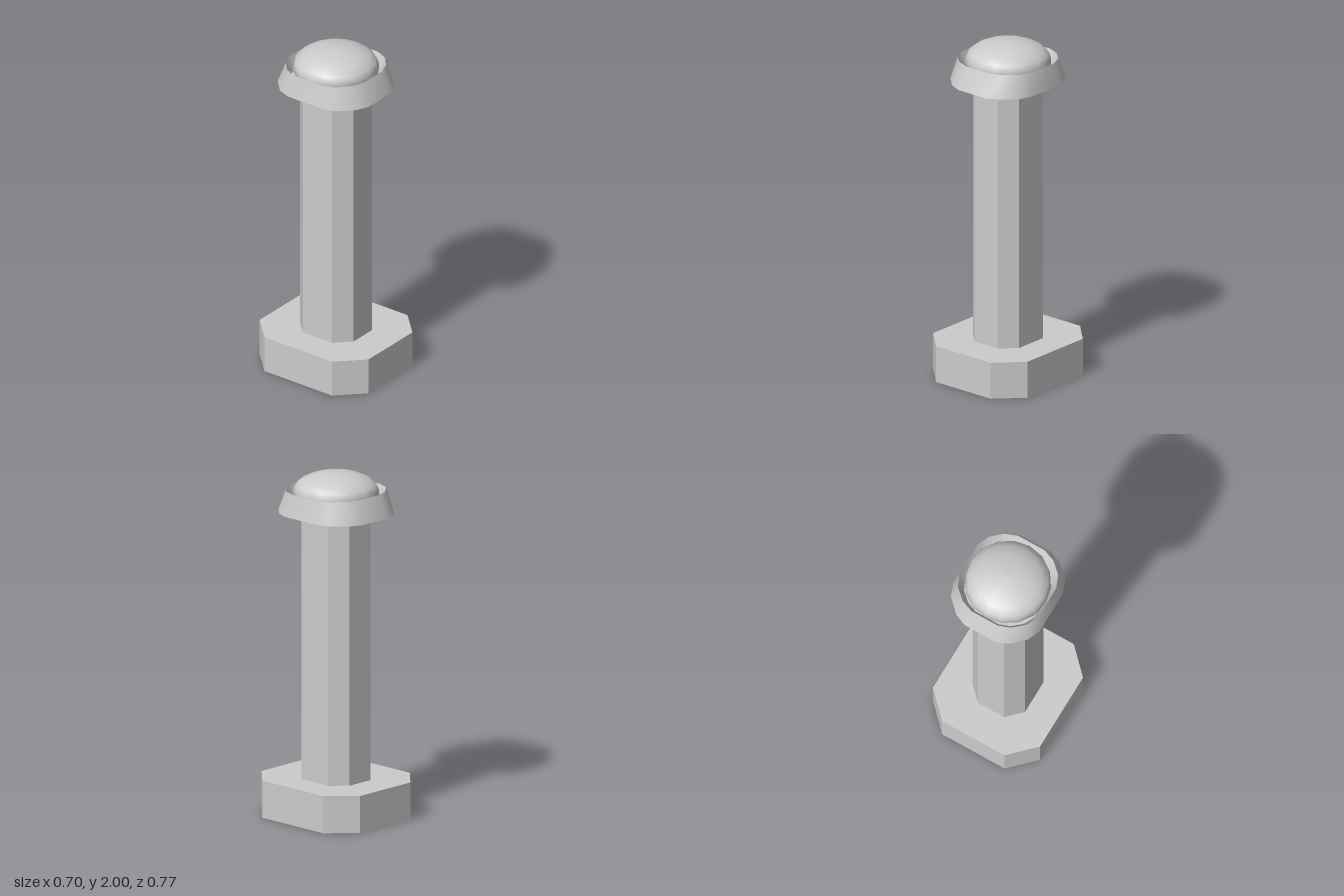
import * as THREE from 'three';
import { toCreasedNormals } from 'three/addons/utils/BufferGeometryUtils.js';

const material = new THREE.MeshStandardMaterial({ color: 0xcccccc, side: THREE.DoubleSide });

// Mirrors one quadrant of outline points (ordered from +x to +z) into a full loop
function mirrorLoop(quadrant) {
  const back = [...quadrant].reverse();
  return [
    ...quadrant,
    ...back.map(([x, z]) => [-x, z]),
    ...quadrant.map(([x, z]) => [-x, -z]),
    ...back.map(([x, z]) => [x, -z]),
  ];
}

// Skins a stack of [outline, y] sections, facing outwards when listed upwards
function loft(name, sections) {
  const positions = [];
  const corner = ([loop, y], i) => {
    const [x, z] = loop[i % loop.length];
    return [x, y, z];
  };
  for (let s = 0; s < sections.length - 1; s++) {
    const low = sections[s], high = sections[s + 1];
    for (let i = 0; i < low[0].length; i++) {
      const a = corner(low, i), b = corner(high, i);
      const c = corner(high, i + 1), d = corner(low, i + 1);
      positions.push(...a, ...b, ...d, ...b, ...c, ...d);
    }
  }
  const geometry = new THREE.BufferGeometry();
  geometry.setAttribute('position', new THREE.Float32BufferAttribute(positions, 3));
  geometry.computeVertexNormals();
  return part(name, toCreasedNormals(geometry, 0.6));
}

function part(name, geometry) {
  const mesh = new THREE.Mesh(geometry, material);
  mesh.name = name;
  return mesh;
}

const toPoints = (loop) => loop.map(([x, z]) => new THREE.Vector2(x, z));

export function createModel() {
  const group = new THREE.Group();
  group.name = 'post';

  const baseLoop = mirrorLoop([[0.35, 0.24], [0.204, 0.387]]);
  const shaftLoop = mirrorLoop([[0.172, 0.104], [0.085, 0.19]]);
  const skirtLoop = mirrorLoop([[0.283, 0.128], [0.254, 0.203], [0.174, 0.282], [0.1, 0.313]]);
  const rimLoop = mirrorLoop([[0.257, 0.1], [0.226, 0.174], [0.159, 0.234], [0.086, 0.262]]);
  const innerLoop = rimLoop.map(([x, z]) => [x * 0.88, z * 0.88]);
  const baseTop = 0.217, headBottom = 1.767;

  // Hollow base: open underneath, with a hole where the shaft meets the top
  group.add(loft('base', [[baseLoop, 0], [baseLoop, baseTop], [shaftLoop, baseTop]]));

  // Hollow eight-sided shaft
  group.add(loft('shaft', [[shaftLoop, baseTop], [shaftLoop, headBottom]]));

  // Underside of the head, around the shaft
  const under = new THREE.Shape(toPoints(skirtLoop));
  under.holes.push(new THREE.Path(toPoints(shaftLoop)));
  const underside = part('headUnderside', new THREE.ShapeGeometry(under).rotateX(Math.PI / 2));
  underside.position.y = headBottom;
  group.add(underside);

  // Flared collar, folding inwards at the rim
  group.add(loft('collar', [[skirtLoop, headBottom], [rimLoop, 1.898], [innerLoop, 1.83]]));

  // Shallow rounded cap inside the collar
  const profile = [
    [0.225, 1.83], [0.245, 1.865], [0.241, 1.9], [0.228, 1.929], [0.192, 1.957],
    [0.138, 1.98], [0.07, 1.995], [0, 2],
  ].map(([r, y]) => new THREE.Vector2(r, y));
  group.add(part('cap', new THREE.LatheGeometry(profile, 16)));

  return group;
}
